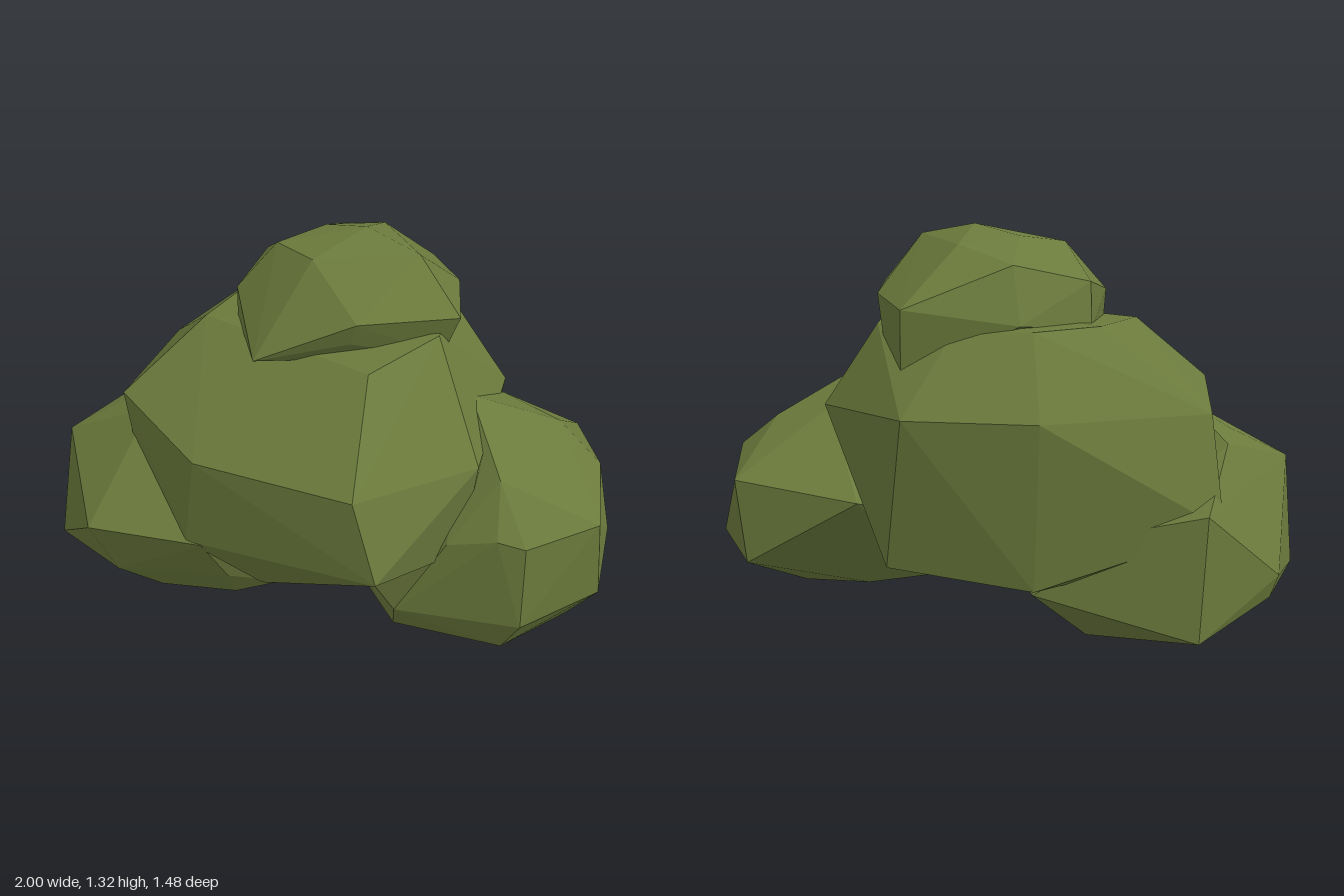
import * as THREE from 'three';
import { ConvexGeometry } from 'three/addons/geometries/ConvexGeometry.js';

export function createModel() {
  const bush = new THREE.Group();
  bush.name = 'bush';
  const leafGreen = new THREE.MeshStandardMaterial({ color: 0x6b7a3c, flatShading: true });
  leafGreen.name = 'leaf green';

  // A faceted clump of foliage, hulled around a few rings of corners
  function clump(name, ...rings) {
    const points = rings.flat().map((p) => new THREE.Vector3(...p));
    const mesh = new THREE.Mesh(new ConvexGeometry(points), leafGreen);
    mesh.name = name;
    bush.add(mesh);
  }

  clump('mainClump',
    // underside
    [[-0.25, 0.22, 0.37], [0.12, 0.22, 0.4], [0.38, 0.28, 0.15], [0.46, 0.295, -0.3],
      [0.47, 0.29, -0.53], [0.03, 0.23, -0.66], [-0.4, 0.23, -0.45], [-0.5, 0.25, 0]],
    // lower rim
    [[-0.5, 0.39, 0.36], [0.1, 0.455, 0.74], [0.42, 0.34, 0.4],
      [-0.57, 0.4, -0.66], [-0.66, 0.42, 0.03]],
    // widest ring
    [[-0.46, 0.71, 0.4], [0.03, 0.72, 0.69], [0.45, 0.7, 0.46], [0.64, 0.73, -0.12],
      [0.43, 0.78, -0.66], [0.03, 0.77, -0.74], [-0.55, 0.75, -0.57], [-0.71, 0.77, 0]],
    // crown
    [[-0.42, 1.0, -0.12], [0.1, 1.0, 0.38], [0.34, 1.06, 0.23], [0.46, 1.0, -0.13],
      [0.25, 1.0, -0.45], [0.02, 1.02, -0.58], [-0.21, 1.02, -0.48]]);

  clump('leftClump',
    // base
    [[0.2, 0.04, 0.38], [0.55, 0.04, 0.53], [0.81, 0.04, 0.36], [0.72, 0.04, 0.12],
      [0.5, 0.04, 0.05], [0.25, 0.04, 0.1]],
    // low ring
    [[0.19, 0.17, 0.48], [0.59, 0.18, 0.615], [0.88, 0.215, 0.48], [1, 0.24, 0.13],
      [0.91, 0.22, -0.2], [0.45, 0.22, -0.12], [0.02, 0.21, 0.1]],
    // high ring
    [[0.35, 0.45, 0.52], [0.5, 0.5, 0.59], [0.59, 0.48, 0.61], [0.85, 0.5, 0.51],
      [0.93, 0.54, 0.18], [0.94, 0.5, -0.19], [0.55, 0.45, -0.36], [0.2, 0.45, 0]],
    // top
    [[0.46, 0.83, 0.2], [0.52, 0.66, 0.48], [0.8, 0.66, 0.08], [0.62, 0.71, -0.05]]);

  clump('rightClump',
    // base
    [[-0.82, 0, -0.15], [-0.62, 0, 0.05], [-0.35, 0, 0.11], [-0.18, 0, 0.06],
      [-0.18, 0, -0.46], [-0.4, 0, -0.46], [-0.77, 0, -0.28]],
    // low ring
    [[-1, 0.11, -0.16], [-0.76, 0.15, 0.16], [-0.37, 0.16, 0.24], [0.04, 0.17, -0.1],
      [0.02, 0.19, -0.58], [-0.48, 0.05, -0.72], [-0.76, 0.14, -0.58]],
    // high ring
    [[-0.84, 0.37, 0.23], [-0.45, 0.39, 0.39], [-0.1, 0.4, -0.2], [-0.32, 0.42, -0.67],
      [-0.5, 0.46, -0.72], [-0.78, 0.22, -0.6], [-0.94, 0.52, -0.22]],
    // top
    [[-0.63, 0.69, -0.03], [-0.72, 0.63, -0.24], [-0.65, 0.62, -0.44]]);

  clump('topClump',
    // underside
    [[0.05, 1.05, 0.26], [0.36, 0.96, 0.17], [0.44, 0.89, -0.25], [0.41, 0.86, -0.44],
      [-0.22, 0.95, -0.33], [-0.31, 1.0, -0.1]],
    // rim
    [[-0.26, 0.98, 0.22], [0.07, 1.125, 0.285], [0.41, 1.11, 0.21], [0.46, 1.1, -0.15],
      [0.41, 1.08, -0.46], [0.05, 1.03, -0.52], [-0.2, 1.0, -0.4], [-0.31, 1.1, -0.13]],
    // upper ring and peak
    [[0.29, 1.28, 0.08], [-0.06, 1.27, 0.08], [-0.17, 1.26, -0.12], [-0.2, 1.15, -0.38],
      [0.06, 1.21, -0.45], [0.21, 1.265, -0.29], [0, 1.285, -0.22], [0.13, 1.32, -0.09]]);

  return bush;
}
